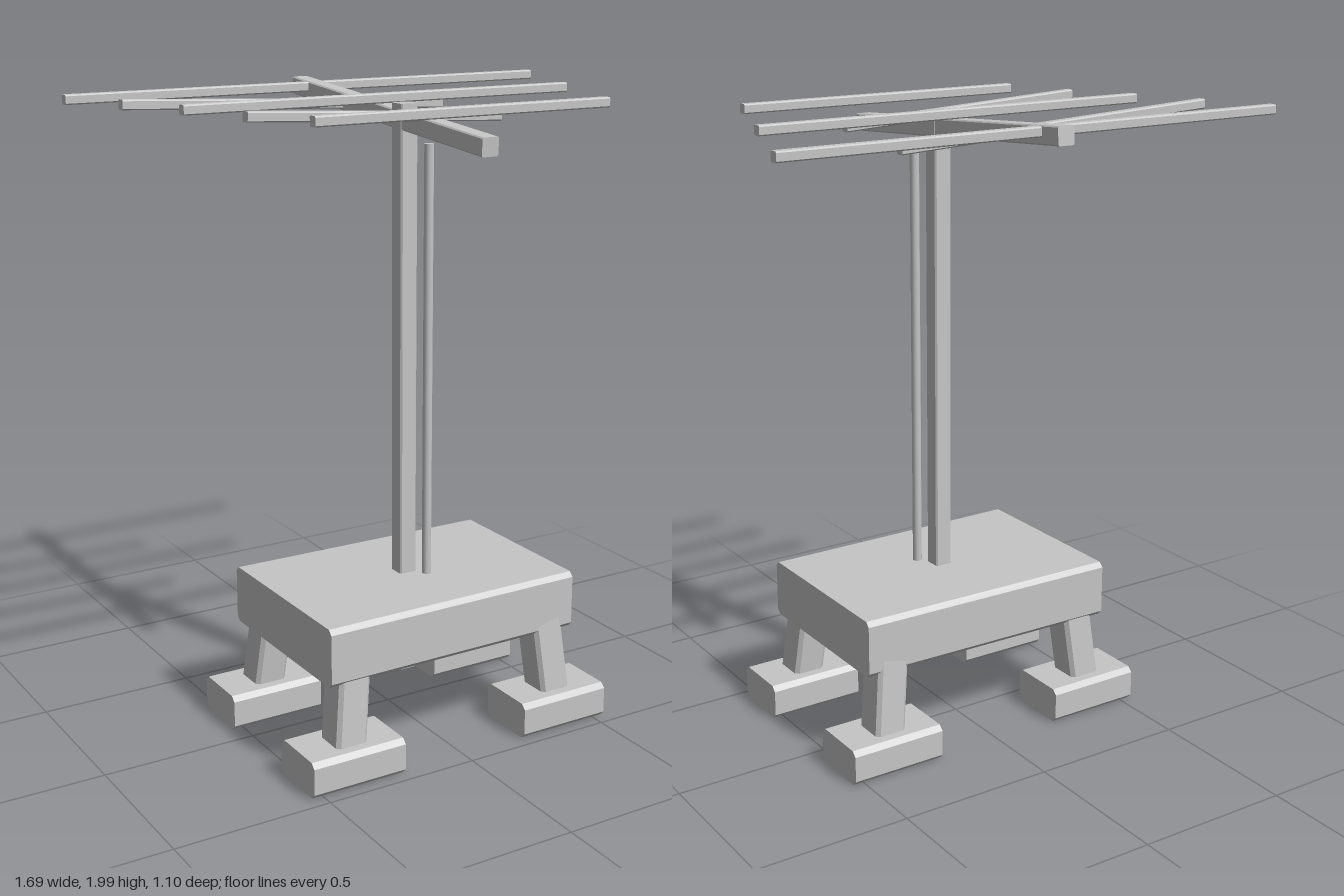
import * as THREE from 'three';

const paint = new THREE.MeshStandardMaterial({ color: 0xc6c6c6 });
paint.name = 'light grey';

const X = new THREE.Vector3(1, 0, 0);
const Y = new THREE.Vector3(0, 1, 0);
const Z = new THREE.Vector3(0, 0, 1);

// Straight beam from a to b with a chamfered w x h section; axis is its main direction
function beam(name, axis, a, b, w, h, c) {
  const start = new THREE.Vector3(...a);
  const dir = new THREE.Vector3(...b).sub(start);
  const x = w / 2, y = h / 2;
  const section = new THREE.Shape([
    [x, c - y], [x, y - c], [x - c, y], [c - x, y],
    [-x, y - c], [-x, c - y], [c - x, -y], [x - c, -y],
  ].map(p => new THREE.Vector2(...p)));
  const geometry = new THREE.ExtrudeGeometry(section, { depth: dir.length(), bevelEnabled: false });
  geometry.applyQuaternion(new THREE.Quaternion().setFromUnitVectors(Z, axis));
  const mesh = new THREE.Mesh(geometry, paint);
  mesh.name = name;
  mesh.position.copy(start);
  mesh.quaternion.setFromUnitVectors(axis, dir.normalize());
  return mesh;
}

export function createModel() {
  const model = new THREE.Group();
  model.name = 'antennaStand';
  const midZ = 0.103;

  // Base block, slightly narrower towards its left end
  const base = beam('base', X, [-0.442, 0.407, midZ], [0.442, 0.407, midZ], 0.617, 0.185, 0.015);
  const p = base.geometry.attributes.position;
  for (let i = 0; i < p.count; i++) if (p.getX(i) > 0.4) p.setZ(i, p.getZ(i) * 0.965);
  base.geometry.computeVertexNormals();
  model.add(base);

  // Four splayed legs on block feet
  for (const sx of [-1, 1]) {
    for (const sz of [-1, 1]) {
      model.add(beam('leg', Y,
        [sx * 0.378, 0.1, midZ + sz * 0.264], [sx * 0.35, 0.36, midZ + sz * 0.243], 0.105, 0.11, 0.012));
      const z = midZ + sz * 0.262;
      model.add(beam('foot', X, [sx * 0.377 - 0.157, 0.062, z], [sx * 0.377 + 0.157, 0.062, z], 0.203, 0.115, 0.016));
    }
  }

  // Mast through the base, with a thin cable beside it
  model.add(beam('mast', Y, [-0.002, 0.17, 0.1], [-0.002, 1.97, 0.1], 0.058, 0.058, 0.005));
  const cable = new THREE.Mesh(new THREE.CylinderGeometry(0.015, 0.015, 1.4, 10), paint);
  cable.name = 'cable';
  cable.position.set(0.047, 1.153, 0.158);
  model.add(cable);

  // Sloping boom
  model.add(beam('boom', Z, [-0.002, 1.888, 0.546], [-0.002, 1.972, -0.546], 0.055, 0.055, 0.004));
  const boom = model.children[model.children.length - 1];
  // Level the boom without flipping it over
  boom.position.set(-0.002, 1.972, -0.546);
  boom.quaternion.setFromUnitVectors(Z, new THREE.Vector3(0, -0.084, 1.092).normalize());

  // Cross bars: z, left end x and y, right end x and y
  const bars = [
    [-0.455, -0.848, 1.975, 0.846, 1.975],
    [-0.234, -0.76, 1.975, 0.34, 1.923],
    [-0.012, -0.67, 1.975, 0.667, 1.975],
    [0.21, -0.582, 1.972, 0.26, 1.928],
    [0.43, -0.494, 1.975, 0.49, 1.975],
  ];
  for (const [z, x0, y0, x1, y1] of bars) {
    model.add(beam('crossBar', X, [x0, y0, z], [x1, y1, z], 0.031, 0.03, 0.004));
  }
  return model;
}
